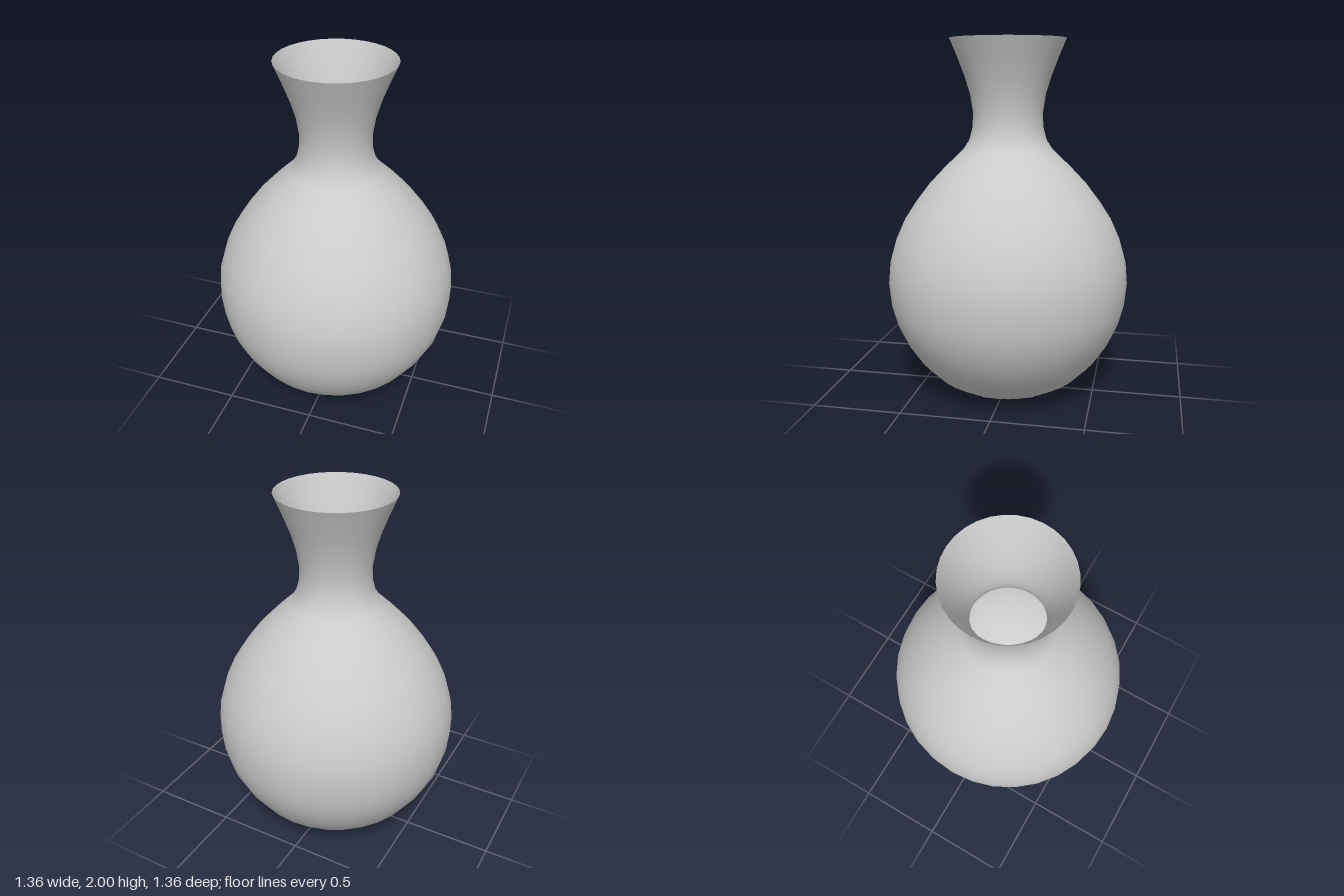
import * as THREE from 'three';

const SEGMENTS = 32;

export function createModel() {
  const group = new THREE.Group();
  group.name = 'vase';
  const material = new THREE.MeshStandardMaterial({ color: 0xcccccc, side: THREE.DoubleSide });

  // Thin-walled body, narrow neck and flared mouth
  const profile = [
    [0.28, 0.037], [0.312, 0.042], [0.413, 0.1], [0.513, 0.2], [0.587, 0.31],
    [0.638, 0.415], [0.668, 0.525], [0.68, 0.655], [0.669, 0.775], [0.637, 0.885],
    [0.585, 1.0], [0.52, 1.1], [0.44, 1.205], [0.35, 1.3], [0.25, 1.395],
    [0.215, 1.45], [0.197, 1.52], [0.194, 1.6], [0.21, 1.7], [0.24, 1.8],
    [0.28, 1.905], [0.32, 2.0],
  ].map(([r, y]) => new THREE.Vector2(r, y));
  const body = new THREE.Mesh(new THREE.LatheGeometry(profile, SEGMENTS), material);
  body.name = 'body';
  group.add(body);

  // Shallow conical underside with a toothed rim lapping onto the body
  const positions = [0, 0, 0];
  const indices = [];
  for (let i = 0; i < SEGMENTS; i++) {
    const a = (i / SEGMENTS) * Math.PI * 2;
    const [r, y] = i % 2 ? [0.345, 0.058] : [0.3, 0.038];
    positions.push(Math.sin(a) * r, y, Math.cos(a) * r);
    indices.push(0, 1 + ((i + 1) % SEGMENTS), 1 + i);
  }
  const baseGeometry = new THREE.BufferGeometry();
  baseGeometry.setAttribute('position', new THREE.Float32BufferAttribute(positions, 3));
  baseGeometry.setIndex(indices);
  baseGeometry.computeVertexNormals();
  const base = new THREE.Mesh(baseGeometry, material);
  base.name = 'base';
  group.add(base);

  return group;
}
